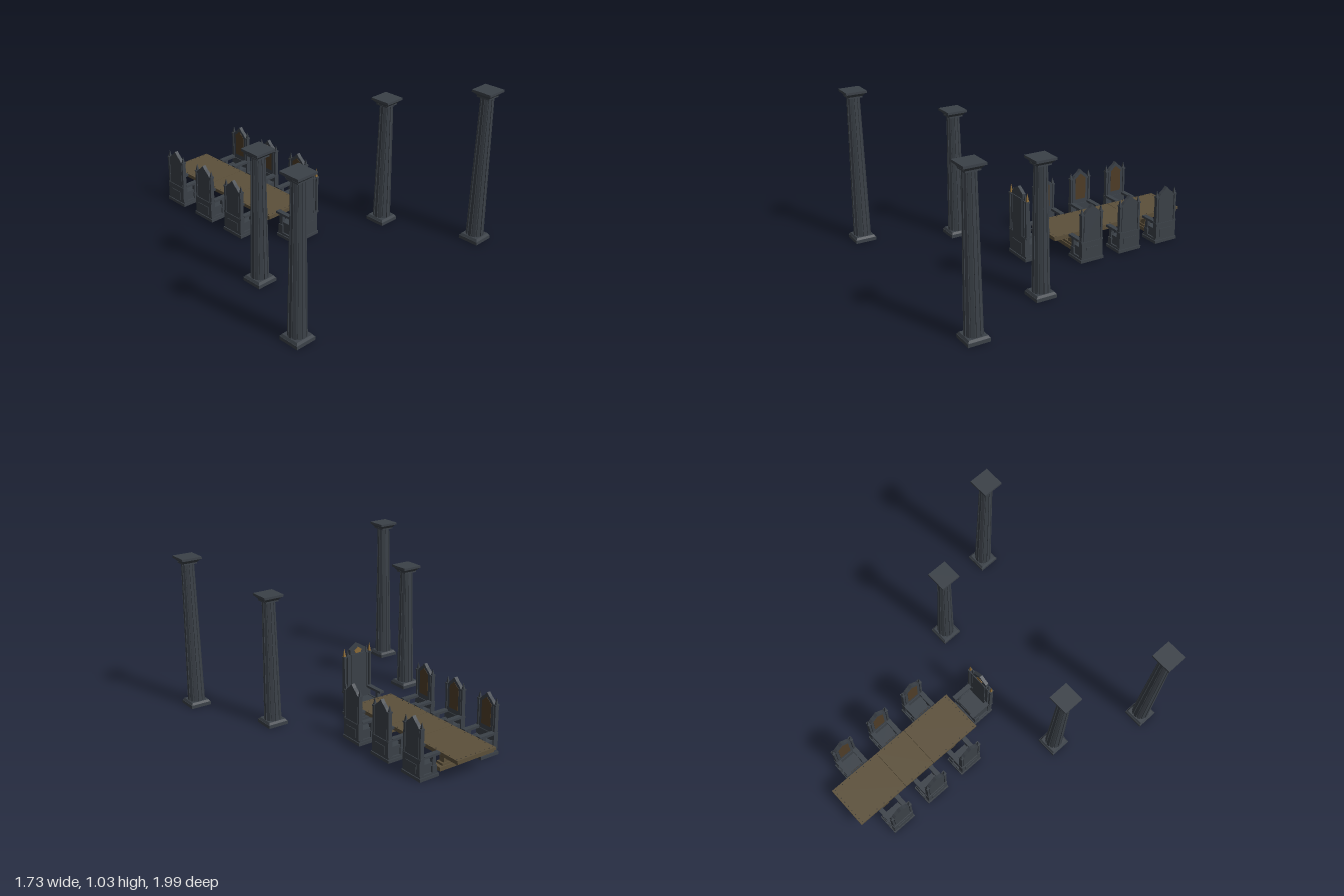
import * as THREE from 'three';

const mat = (name, color) => {
  const m = new THREE.MeshStandardMaterial({ color });
  m.name = name;
  return m;
};

export function createModel() {
  const root = new THREE.Group();
  root.name = 'greatHall';
  const stone = mat('darkStone', 0x3b4148);
  const wood = mat('oldWood', 0x5c503a);
  const darkWood = mat('darkWood', 0x4f3d27);
  const gold = mat('agedGold', 0x8a6a38);
  const iron = mat('iron', 0x34322e);

  const add = (parent, name, geo, m, x = 0, y = 0, z = 0) => {
    const mesh = new THREE.Mesh(geo, m);
    mesh.name = name;
    mesh.position.set(x, y, z);
    parent.add(mesh);
    return mesh;
  };
  // Box given by its centre in x and z and its bottom and top
  const box = (parent, name, m, x, z, w, d, y0, y1) =>
    add(parent, name, new THREE.BoxGeometry(w, y1 - y0, d), m, x, (y0 + y1) / 2, z);
  // Square frustum, sides parallel to the axes
  const frustum = (parent, name, m, x, z, w0, w1, y0, y1) => {
    const g = new THREE.CylinderGeometry(w1 / Math.SQRT2, w0 / Math.SQRT2, y1 - y0, 4).rotateY(Math.PI / 4);
    return add(parent, name, g.toNonIndexed(), m, x, (y0 + y1) / 2, z).geometry.computeVertexNormals();
  };
  // Flat outline, mirrored in x, extruded along z
  const plate = (parent, name, m, right, z, depth) => {
    const left = right.map(([x, y]) => [-x, y]).reverse();
    const pts = [...right, ...left].map(([x, y]) => new THREE.Vector2(x, y));
    const g = new THREE.ExtrudeGeometry(new THREE.Shape(pts), { depth, bevelEnabled: false });
    return add(parent, name, g, m, 0, 0, z - depth / 2);
  };

  // Fluted shaft that tapers upwards
  const shaft = (r0, r1, height) => {
    const flutes = 12, pts = [];
    for (let i = 0; i < flutes; i++) {
      for (const [f, r] of [[-0.34, 1], [0.34, 1], [0.4, 0.91], [0.6, 0.91]]) {
        const a = ((i + f) / flutes) * Math.PI * 2;
        pts.push(new THREE.Vector2(Math.cos(a) * r, Math.sin(a) * r));
      }
    }
    const g = new THREE.ExtrudeGeometry(new THREE.Shape(pts), { depth: height, bevelEnabled: false });
    g.rotateX(-Math.PI / 2);
    const p = g.attributes.position;
    for (let i = 0; i < p.count; i++) {
      const r = THREE.MathUtils.lerp(r0, r1, p.getY(i) / height);
      p.setX(i, p.getX(i) * r);
      p.setZ(i, p.getZ(i) * r);
    }
    g.computeVertexNormals();
    return g;
  };

  const column = (name, x, z, h) => {
    const g = new THREE.Group();
    g.name = name;
    g.position.set(x, 0, z);
    box(g, 'plinth', stone, 0, 0, 0.14, 0.14, 0, 0.022);
    frustum(g, 'plinthSlope', stone, 0, 0, 0.135, 0.118, 0.022, 0.036);
    add(g, 'shaft', shaft(0.057, 0.042, h - 0.076), stone, 0, 0.036, 0);
    box(g, 'neck', stone, 0, 0, 0.092, 0.092, h - 0.046, h - 0.037);
    frustum(g, 'capital', stone, 0, 0, 0.09, 0.128, h - 0.037, h - 0.015);
    box(g, 'abacus', stone, 0, 0, 0.138, 0.138, h - 0.015, h);
    root.add(g);
  };
  for (const s of [-1, 1]) {
    column('tallColumn', s * 0.795, 0.925, 1.03);
    column('shortColumn', s * 0.547, 0.345, 0.875);
  }

  // Long table
  const table = new THREE.Group();
  table.name = 'table';
  root.add(table);
  for (const [z, d] of [[-0.19, 0.38], [-0.5, 0.238], [-0.81, 0.38]])
    box(table, 'tabletop', wood, 0, z, 0.3, d - 0.001, 0.13, 0.146);
  box(table, 'tableFrame', darkWood, 0, -0.5, 0.28, 0.98, 0.114, 0.131);
  for (const s of [-1, 1]) {
    box(table, 'sideRail', wood, s * 0.138, -0.5, 0.008, 0.984, 0.116, 0.13);
    box(table, 'endRail', wood, 0, -0.5 + s * 0.489, 0.28, 0.008, 0.116, 0.13);
  }
  for (const z of [-0.2, -0.79]) {
    box(table, 'trestleFoot', wood, 0, z, 0.25, 0.07, 0, 0.025);
    box(table, 'trestleStep', wood, 0, z, 0.2, 0.055, 0.025, 0.04);
    for (const s of [-1, 1]) box(table, 'trestlePost', wood, s * 0.06, z, 0.05, 0.04, 0.04, 0.098);
    box(table, 'trestleHead', wood, 0, z, 0.24, 0.06, 0.098, 0.115);
  }
  box(table, 'stretcher', wood, 0, -0.495, 0.05, 0.64, 0.046, 0.066);
  // Studs around the tabletop
  const studGeo = new THREE.CylinderGeometry(0.0035, 0.0035, 0.002, 8);
  for (const s of [-1, 1]) {
    for (let i = 0; i < 17; i++) add(table, 'stud', studGeo, iron, s * 0.138, 0.1465, -0.02 - i * 0.06);
    for (let i = -3; i <= 3; i++) add(table, 'stud', studGeo, iron, i * 0.036, 0.1465, -0.5 + s * 0.485);
  }

  // Chair facing local +z; w, d: footprint, back: shoulder height, arm: armrest top
  const chair = (name, w, d, back, arm, royal) => {
    const g = new THREE.Group();
    g.name = name;
    const h = w / 2, bz = -d / 2 + 0.02;
    const seat = arm * 0.6;
    box(g, 'base', stone, 0, 0, w, d, 0, 0.02);
    box(g, 'baseStep', stone, 0, 0, w - 0.012, d - 0.012, 0.02, 0.034);
    box(g, 'seatBlock', stone, 0, 0.002, w - 0.035, d - 0.035, 0.034, seat - 0.022);
    box(g, 'seatTrim', darkWood, 0, 0.006, w - 0.05, d - 0.05, seat - 0.022, seat - 0.008);
    box(g, 'seat', stone, 0, 0.006, w - 0.045, d - 0.045, seat - 0.008, seat);
    for (const s of [-1, 1]) {
      box(g, 'frontFoot', stone, s * (h - 0.022), d / 2 - 0.03, 0.034, 0.034, 0.034, seat - 0.015);
      box(g, 'armPost', stone, s * (h - 0.022), d / 2 - 0.03, 0.024, 0.024, seat - 0.015, arm - 0.016);
      box(g, 'armrest', stone, s * (h - 0.02), 0.022, 0.032, d - 0.025, arm - 0.016, arm);
      box(g, 'armPanel', stone, s * (h - 0.022), -0.005, 0.012, d - 0.05, 0.034, seat + 0.004);
    }

    // Lower back with raised panel
    box(g, 'lowerBack', stone, 0, bz, w - 0.016, 0.034, 0.034, arm - 0.012);
    box(g, 'lowerBackPanel', stone, 0, bz - 0.018, w * 0.56, 0.006, 0.042, seat + 0.01);
    // Tall back
    const bw = royal ? 0.056 : 0.06;
    if (royal) {
      box(g, 'tallBack', stone, 0, bz, 0.15, 0.02, arm - 0.02, back);
      box(g, 'backPanel', stone, 0, bz, bw * 2, 0.034, arm - 0.03, back + 0.005);
      plate(g, 'crown', stone,
        [[0.04, back - 0.01], [0.06, back + 0.005], [0.06, back + 0.038], [0, back + 0.075]], bz, 0.022);
      plate(g, 'crownInset', gold,
        [[0.02, back + 0.01], [0.028, back + 0.03], [0, back + 0.05]], bz + 0.011, 0.006);
    } else {
      plate(g, 'tallBack', stone,
        [[bw, arm - 0.02], [bw, back], [0.045, back + 0.018], [0.02, back + 0.038], [0, back + 0.06]], bz, 0.024);
      plate(g, 'backInset', darkWood,
        [[0.04, arm + 0.02], [0.04, back - 0.005], [0, back + 0.03]], bz + 0.0105, 0.006);
    }
    // Posts with pointed finials
    const posts = royal ? [[0.075, stone, 0], [0.1, gold, 0.012]] : [[h - 0.015, stone, 0]];
    for (const s of [-1, 1]) {
      for (const [x, tip, up] of posts) {
        const top = back + (royal ? 0 : 0.002);
        box(g, 'backPost', stone, s * x, bz, 0.014, 0.026, arm - 0.02, top);
        box(g, 'postCap', stone, s * x, bz, 0.02, 0.03, top - 0.01, top);
        box(g, 'postCollar', stone, s * x, bz, 0.02, 0.03, arm - 0.02, arm - 0.006);
        frustum(g, 'finial', tip, s * x, bz, 0.016, 0.001, top, top + 0.042 + up);
      }
    }
    root.add(g);
    return g;
  };

  const throne = chair('throne', 0.212, 0.168, 0.41, 0.174, true);
  throne.position.set(0, 0, 0.105);
  throne.rotation.y = Math.PI;
  for (const s of [-1, 1]) {
    for (const z of [-0.187, -0.48, -0.775]) {
      const c = chair('sideChair', 0.174, 0.143, 0.325, 0.15, false);
      c.position.set(s * 0.236, 0, z);
      c.rotation.y = -s * Math.PI / 2;
    }
  }
  return root;
}
